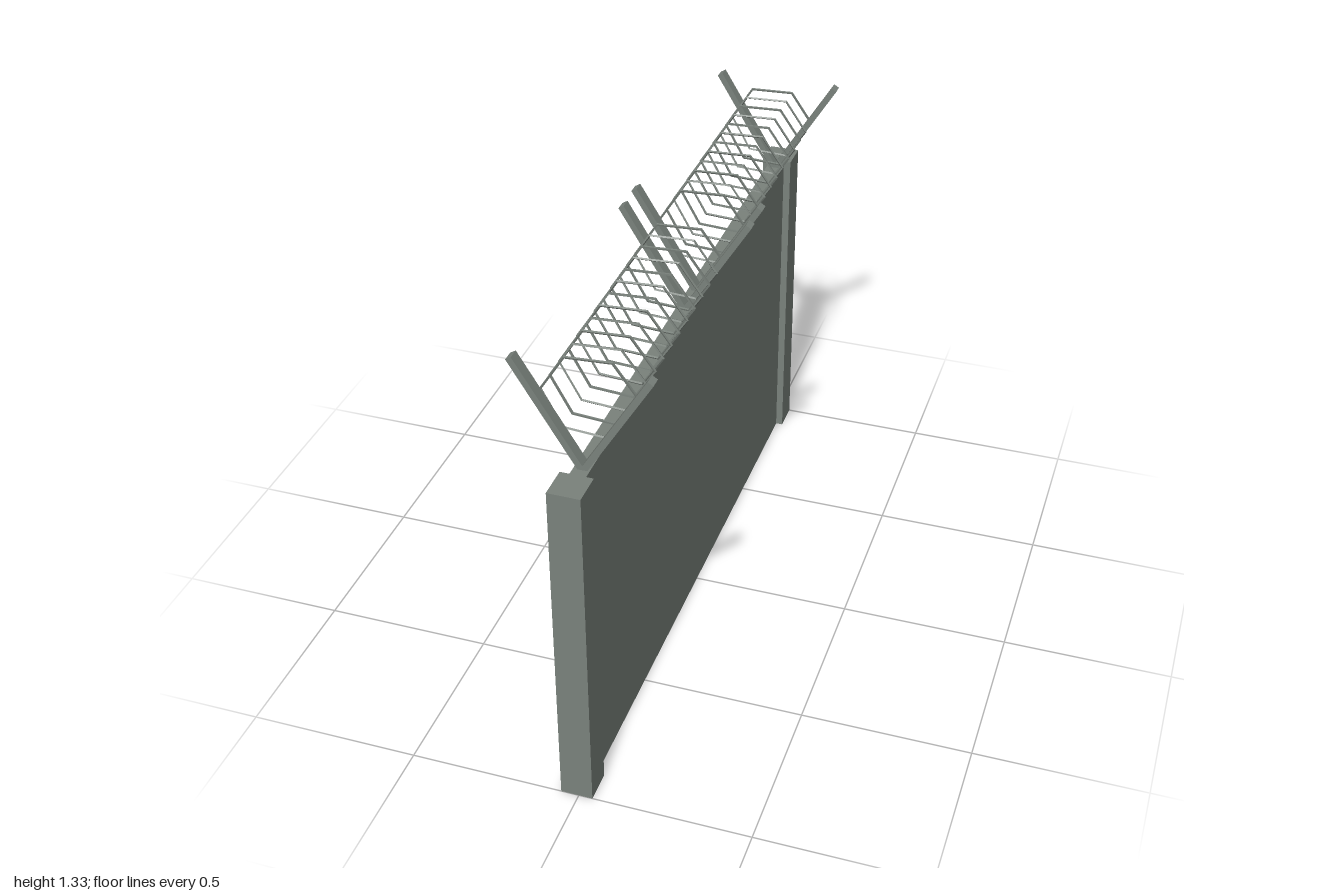
import * as THREE from 'three';

// Hexagonal helix whose corners fall exactly on the tube rings
class HexCoil extends THREE.Curve {
  constructor(turns, pitch) {
    super();
    this.steps = turns * 6;
    this.pitch = pitch;
  }
  corner(i) {
    const a = -i * Math.PI / 3;
    return new THREE.Vector3(0.125 * Math.cos(a), 0.114 * Math.sin(a), -this.pitch * i / 6);
  }
  getPoint(t) {
    const s = t * this.steps;
    const i = Math.min(Math.floor(s + 1e-9), this.steps - 1);
    return this.corner(i).lerp(this.corner(i + 1), s - i);
  }
  getPointAt(u) { return this.getPoint(u); }
  getTangentAt(u, target) { return this.getTangent(u, target); }
}

export function createModel() {
  const model = new THREE.Group();
  const concrete = new THREE.MeshStandardMaterial({ color: 0x7a827c, flatShading: true, side: THREE.DoubleSide });
  concrete.name = 'grey green';

  const add = (name, geometry, x, y, z, parent = model) => {
    const mesh = new THREE.Mesh(geometry, concrete);
    mesh.name = name;
    mesh.position.set(x, y, z);
    parent.add(mesh);
    return mesh;
  };

  // Box standing on the ground, open underneath
  const openBox = (w, h, d) => {
    const g = new THREE.BoxGeometry(w, h, d);
    const index = Array.from(g.index.array);
    index.splice(18, 6);
    g.setIndex(index);
    g.clearGroups();
    return g;
  };

  // Wall slab and end posts
  const H = 1.03;
  add('wallPanel', openBox(0.045, H - 0.002, 1.81), -0.004, (H - 0.002) / 2, 0);
  for (const s of [1, -1]) add('endPost', openBox(0.092, H, 0.094), -0.006, H / 2, s * 0.953);

  // V-shaped wire brackets
  const armLength = 0.355;
  const lean = Math.atan2(0.182, 0.297);
  for (const z of [0.863, 0.045, -0.062, -0.878]) {
    const bracket = new THREE.Group();
    bracket.name = 'wireBracket';
    bracket.position.set(-0.001, 1.023, z);
    model.add(bracket);
    for (const s of [1, -1]) {
      const arm = add('bracketArm', new THREE.BoxGeometry(0.018, armLength, 0.033),
        s * Math.sin(lean) * armLength / 2, Math.cos(lean) * armLength / 2, 0, bracket);
      arm.rotation.z = -s * lean;
    }
  }

  // Coiled wire between each pair of brackets
  const wire = new THREE.TubeGeometry(new HexCoil(12, 0.065), 72, 0.004, 4, false);
  for (const z of [0.836, -0.088]) add('wireCoil', wire, -0.012, 1.2, z);

  return model;
}
